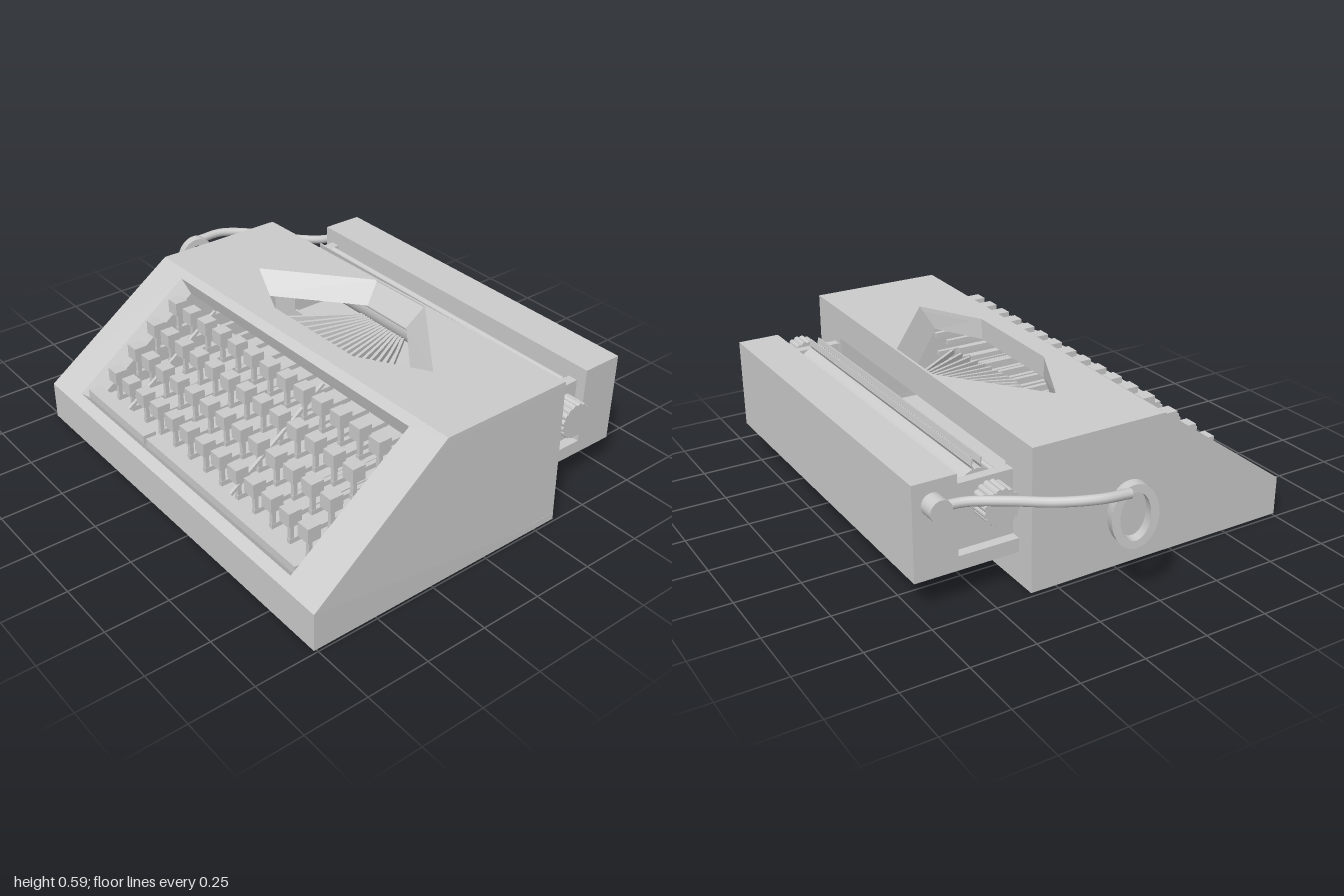
import * as THREE from 'three';

const mat = new THREE.MeshStandardMaterial({ color: 0xcccccc, side: THREE.DoubleSide });
const V = (x, y, z) => new THREE.Vector3(x, y, z);

// The housing rises slightly toward +x; everything inside it follows.
function warp(geo) {
  const p = geo.attributes.position;
  for (let i = 0; i < p.count; i++) {
    const t = Math.max(0, (p.getY(i) - 0.155) / 0.435);
    p.setY(i, p.getY(i) + (p.getX(i) - 0.99) * 0.02 * t);
    if (p.getX(i) > 0.9) p.setX(i, p.getX(i) - 0.015 * t);
  }
  geo.computeVertexNormals();
  return geo;
}

function add(parent, name, geo) {
  const m = new THREE.Mesh(geo, mat);
  m.name = name;
  parent.add(m);
  return m;
}

// Box from its limits
const block = (x0, x1, y0, y1, z0, z1) =>
  new THREE.BoxGeometry(x1 - x0, y1 - y0, z1 - z0).translate((x0 + x1) / 2, (y0 + y1) / 2, (z0 + z1) / 2);

// Thin bar between two points
function bar(a, b, w, h) {
  const o = new THREE.Object3D();
  o.position.copy(a).lerp(b, 0.5);
  o.lookAt(b);
  o.updateMatrix();
  return new THREE.BoxGeometry(w, h, a.distanceTo(b)).applyMatrix4(o.matrix);
}

// Closed strip of walls joining two loops of points
function wallLoop(a, b) {
  const pos = [];
  a.forEach((p, i) => {
    const j = (i + 1) % a.length;
    for (const q of [p, b[i], a[j], a[j], b[i], b[j]]) pos.push(q.x, q.y, q.z);
  });
  const g = new THREE.BufferGeometry();
  g.setAttribute('position', new THREE.Float32BufferAttribute(pos, 3));
  g.computeVertexNormals();
  return g;
}

function plate(outer, hole, depth) {
  const s = new THREE.Shape(outer.map(p => new THREE.Vector2(...p)));
  if (hole) s.holes.push(new THREE.Path(hole.map(p => new THREE.Vector2(...p))));
  return new THREE.ExtrudeGeometry(s, { depth, bevelEnabled: false });
}

const rect = (x0, x1, y0, y1) => [[x0, y0], [x1, y0], [x1, y1], [x0, y1]];
const XL = -0.73, XR = 0.99;

function buildHousing() {
  const g = new THREE.Group();
  g.name = 'housing';
  // Side cheeks
  const profile = [[0.76, 0], [0.76, 0.155], [0.2, 0.59], [-0.35, 0.59], [-0.35, 0]];
  for (const x of [XL, XR - 0.025]) {
    const side = plate(profile.map(([z, y]) => [-z, y]), null, 0.025);
    add(g, 'sidePanel', warp(side.rotateY(Math.PI / 2).translate(x, 0, 0)));
  }
  add(g, 'bottomPanel', block(XL, XR, 0, 0.03, -0.35, 0.76));
  add(g, 'frontPanel', block(XL, XR, 0, 0.155, 0.73, 0.76));
  // Back panel, open behind the roller
  const back = plate(rect(XL, XR, 0, 0.59), rect(-0.56, 0.78, 0.2, 0.46), 0.01);
  add(g, 'backPanel', warp(back.translate(0, 0, -0.35)));

  // Top panel with six-sided type basket opening
  const hex = [[-0.02, -0.343], [0.26, -0.343], [0.64, -0.04], [0.38, 0.11], [-0.09, 0.11], [-0.4, -0.04]];
  const hexIn = [[0, -0.28], [0.23, -0.28], [0.58, 0], [0.38, 0.11], [-0.09, 0.11], [-0.34, 0]];
  const flip = a => a.map(([x, z]) => [x, -z]);
  const top = plate(flip(rect(XL, XR, -0.35, 0.2)), flip(hex), 0.02);
  add(g, 'topPanel', warp(top.rotateX(-Math.PI / 2).translate(0, 0.57, 0)));
  add(g, 'basketRim', warp(wallLoop(hex.map(([x, z]) => V(x, 0.59, z)), hexIn.map(([x, z]) => V(x, 0.5, z)))));

  // Sloping keyboard frame with recessed lip
  const up = V(0, 0.435, -0.56).normalize(), right = V(1, 0, 0);
  const place = new THREE.Matrix4().makeBasis(right, up, right.clone().cross(up)).setPosition(0, 0.155, 0.76);
  const hole = rect(-0.56, 0.82, 0.045, 0.67), lip = rect(-0.52, 0.79, 0.06, 0.645);
  const frame = plate(rect(XL, XR, 0, 0.709), hole, 0.02).translate(0, 0, -0.02);
  add(g, 'keyboardFrame', warp(frame.applyMatrix4(place)));
  const rim = wallLoop(hole.map(p => V(...p, 0)), lip.map(p => V(...p, -0.06)));
  add(g, 'keyboardRim', warp(rim.applyMatrix4(place)));
  return g;
}

function buildKeyboard() {
  const g = new THREE.Group();
  g.name = 'keyboard';
  // Four stepped rows of keys, each on a stem and a lever
  for (let r = 0; r < 4; r++) {
    const z = 0.59 - r * 0.094, y = 0.29 + r * 0.08;
    for (let i = 0; i < 13; i++) {
      const x = -0.49 + i * 0.103 + [0, 0, 0, 0.02][r];
      add(g, 'key', warp(block(x - 0.028, x + 0.028, y - 0.06, y, z - 0.027, z + 0.027)));
      add(g, 'keyStem', warp(block(x - 0.008, x + 0.008, y - 0.13, y - 0.06, z - 0.008, z + 0.008)));
      add(g, 'keyLever', warp(block(x - 0.009, x + 0.009, y - 0.15, y - 0.13, 0.1, z + 0.01)));
    }
  }
  // Space bar, side bar and two guide rods
  add(g, 'spaceBar', block(-0.11, 0.81, 0.165, 0.2, 0.645, 0.7));
  add(g, 'sideBar', block(-0.54, -0.13, 0.165, 0.2, 0.645, 0.7));
  for (const x of [-0.34, 0.35])
    add(g, 'guideRod', warp(bar(V(x, 0.17, 0.66), V(x, 0.5, 0.22), 0.012, 0.012)));
  return g;
}

function buildTypeBasket() {
  const g = new THREE.Group();
  g.name = 'typeBasket';
  const n = 17;
  for (let i = 0; i < n; i++) {
    const t = (i / (n - 1)) * 2 - 1;
    const tip = V(0.125 + t * 0.305, 0.41 + 0.03 * t * t, 0.08 - 0.08 * t * t);
    add(g, 'typeBar', bar(V(0.125 + t * 0.12, 0.45, -0.25), tip, 0.012, 0.02));
  }
  return g;
}

function buildCarriage() {
  const g = new THREE.Group();
  g.name = 'carriage';
  const y = 0.365, z = -0.465;
  add(g, 'carriageBack', block(-0.65, 0.87, 0.125, 0.49, -0.76, -0.59));
  add(g, 'carriageBase', block(-0.65, 0.87, 0.125, 0.18, -0.6, -0.345));
  for (const x of [-0.61, 0.79]) add(g, 'endPlate', block(x, x + 0.04, 0.17, 0.43, -0.6, -0.345));
  // Roller and the rods beside it
  const rod = (name, r, x0, x1, yy, zz) =>
    add(g, name, new THREE.CylinderGeometry(r, r, x1 - x0, 24).rotateZ(Math.PI / 2).translate((x0 + x1) / 2, yy, zz));
  rod('roller', 0.075, -0.56, 0.78, y, z);
  rod('rollerShaft', 0.03, -0.68, 0.9, y, z);
  rod('paperRod', 0.013, -0.57, 0.79, 0.42, -0.56);
  rod('frontRod', 0.01, -0.57, 0.79, 0.4, -0.385);
  // Two curved paper guides above the roller
  for (const zz of [-0.45, -0.485]) {
    add(g, 'paperGuide', bar(V(0.11, 0.43, zz + 0.012), V(0.11, 0.455, zz), 1.34, 0.006));
    add(g, 'paperGuide', bar(V(0.11, 0.455, zz), V(0.11, 0.478, zz + 0.004), 1.34, 0.006));
  }
  // Fluted knobs
  const pts = [];
  for (let i = 0; i < 64; i++) {
    const a = (i / 64) * Math.PI * 2, r = 0.064 + 0.007 * Math.abs(Math.sin(a * 8));
    pts.push([r * Math.cos(a), r * Math.sin(a)]);
  }
  for (const x of [-0.73, 0.865])
    add(g, 'knob', plate(pts, null, 0.085).rotateY(Math.PI / 2).translate(x, y, z));
  rod('leverPivot', 0.042, -0.715, -0.64, 0.405, -0.685);
  return g;
}

function buildLever() {
  const g = new THREE.Group();
  g.name = 'returnLever';
  const path = new THREE.CatmullRomCurve3([
    V(-0.68, 0.405, -0.68), V(-0.7, 0.41, -0.59), V(-0.79, 0.42, -0.47), V(-0.9, 0.435, -0.36),
    V(-0.97, 0.445, -0.24), V(-0.98, 0.44, -0.13)]);
  add(g, 'leverArm', new THREE.TubeGeometry(path, 32, 0.018, 10));
  // Flat oval finger loop
  const s = new THREE.Shape().absellipse(0, 0, 0.085, 0.12, 0, Math.PI * 2);
  s.holes.push(new THREE.Path().absellipse(0, 0, 0.055, 0.09, 0, Math.PI * 2));
  const loop = new THREE.ExtrudeGeometry(s, { depth: 0.04, bevelEnabled: false, curveSegments: 24 });
  const m = add(g, 'fingerLoop', loop.translate(0, 0, -0.02));
  m.rotation.y = Math.PI / 2 - 0.22;
  m.position.set(-0.96, 0.345, -0.1);
  return g;
}

export function createModel() {
  const model = new THREE.Group();
  model.name = 'typewriter';
  model.add(buildHousing(), buildKeyboard(), buildTypeBasket(), buildCarriage(), buildLever());
  return model;
}
